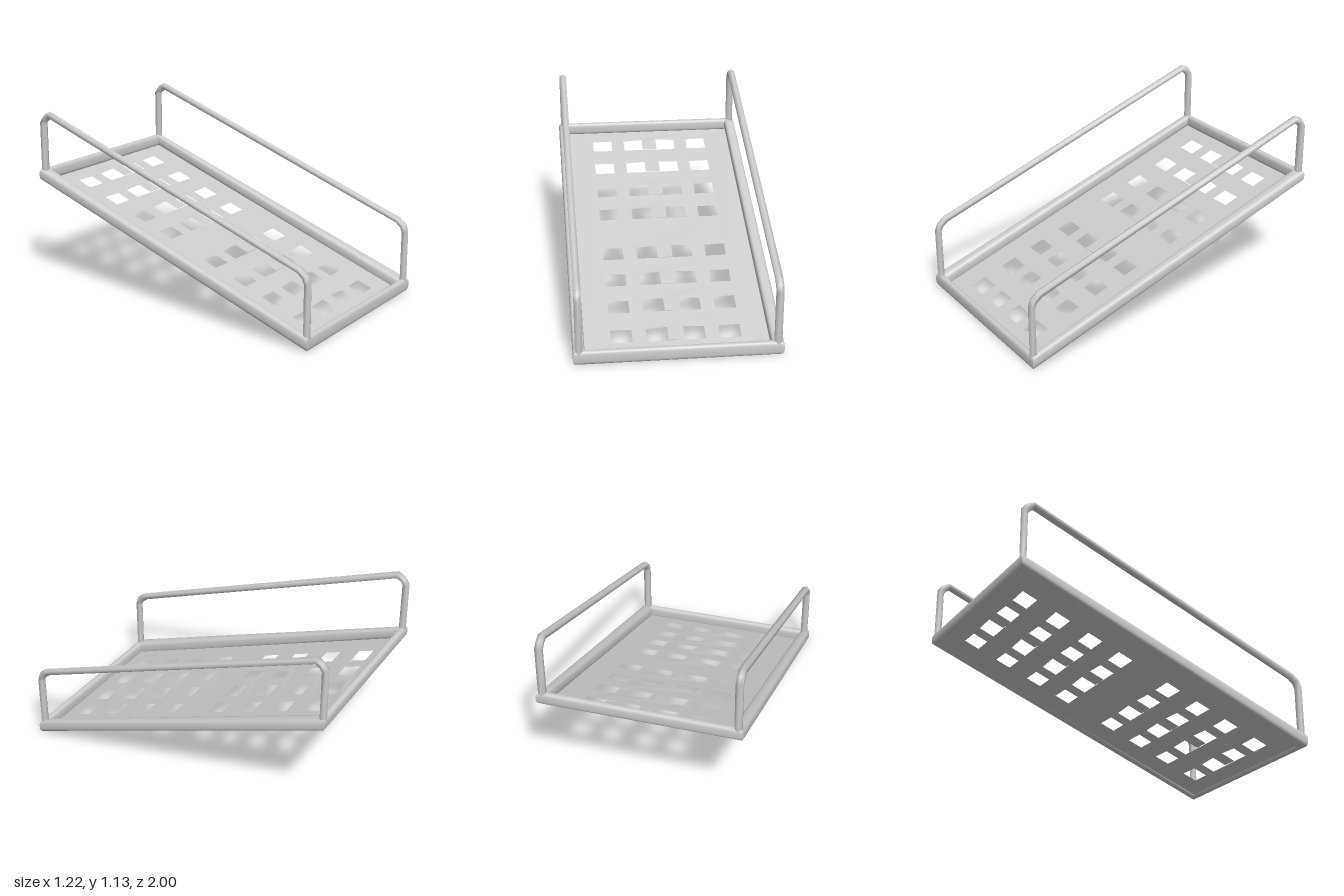
import * as THREE from 'three';

const grey = new THREE.MeshStandardMaterial({ color: 0xcccccc, side: THREE.DoubleSide });

// Skin a list of closed rings (arrays of Vector3, equal length) into a tube
function loft(rings) {
  const n = rings[0].length, pos = [], index = [];
  for (const ring of rings) for (const p of ring) pos.push(p.x, p.y, p.z);
  for (let j = 0; j < rings.length - 1; j++) {
    for (let k = 0; k < n; k++) {
      const a = j * n + k, c = j * n + (k + 1) % n;
      index.push(a, a + n, c, c, a + n, c + n);
    }
  }
  const g = new THREE.BufferGeometry();
  g.setAttribute('position', new THREE.Float32BufferAttribute(pos, 3));
  g.setIndex(index);
  g.computeVertexNormals();
  return g;
}

function add(parent, name, geometry) {
  const mesh = new THREE.Mesh(geometry, grey);
  mesh.name = name;
  parent.add(mesh);
  return mesh;
}

// Mitred section of the frame at one corner: a softened square
function cornerRing(sx, sz) {
  const y = sz > 0 ? 0.0425 : 0.714, ry = sz > 0 ? 0.0425 : 0.0375;
  const soften = v => Math.sign(v) * Math.abs(v) ** 0.67;
  return Array.from({ length: 20 }, (_, k) => {
    const a = k / 20 * Math.PI * 2, c = soften(Math.cos(a)), s = soften(Math.sin(a));
    return new THREE.Vector3(sx * (0.575 + 0.035 * c), y + ry * s, sz * (0.9775 + 0.0225 * c));
  });
}

// Six-sided tube along a bent path of [z, y] points, with mitred bends
function railGeometry(path, radius) {
  const pts = path.map(([z, y]) => new THREE.Vector2(z, y));
  const rings = pts.map((p, i) => {
    const before = p.clone().sub(pts[Math.max(i - 1, 0)]).normalize();
    const after = pts[Math.min(i + 1, pts.length - 1)].clone().sub(p).normalize();
    const t = before.clone().add(after).normalize();
    const stretch = 1 / Math.max(t.dot(after), t.dot(before));
    return Array.from({ length: 6 }, (_, k) => {
      const a = k / 6 * Math.PI * 2, r = Math.cos(a) * radius * stretch;
      return new THREE.Vector3(-Math.sin(a) * radius * 1.08, p.y - t.x * r, p.x + t.y * r);
    });
  });
  return loft(rings);
}

// Sloping plate with a grid of rectangular holes and a slight bow
function plateGeometry() {
  const rect = (path, x, z, w, d) => {
    path.moveTo(x - w / 2, z - d / 2).lineTo(x + w / 2, z - d / 2);
    path.lineTo(x + w / 2, z + d / 2).lineTo(x - w / 2, z + d / 2).closePath();
    return path;
  };
  const shape = rect(new THREE.Shape(), 0, 0, 1.12, 1.93);
  for (const z of [-0.825, -0.605, -0.385, -0.175, 0.165, 0.38, 0.59, 0.81]) {
    for (const x of [-0.32, -0.11, 0.11, 0.32]) {
      shape.holes.push(rect(new THREE.Path(), x, -z, 0.125, 0.095));
    }
  }
  const g = new THREE.ShapeGeometry(shape).rotateX(-Math.PI / 2);
  const p = g.attributes.position;
  for (let i = 0; i < p.count; i++) {
    const x = Math.abs(p.getX(i));
    const bow = x < 0.1 ? 0.004 : x < 0.3 ? -0.003 : 0;
    p.setY(i, 0.348 - 0.344 * p.getZ(i) + bow);
  }
  g.computeVertexNormals();
  return g;
}

export function createModel() {
  const model = new THREE.Group();
  model.name = 'ramp';

  // Frame of four mitred bars
  const frame = new THREE.Group();
  frame.name = 'frame';
  model.add(frame);
  const corners = [[-1, 1], [1, 1], [1, -1], [-1, -1]];
  ['frontBar', 'leftBar', 'backBar', 'rightBar'].forEach((name, i) => {
    add(frame, name, loft([cornerRing(...corners[i]), cornerRing(...corners[(i + 1) % 4])]));
  });

  // Perforated plate
  add(model, 'plate', plateGeometry());

  // Handrails: post, bend, sloping rail, bend, post
  const rail = railGeometry([
    [0.977, 0.05], [0.977, 0.395], [0.963, 0.431], [0.922, 0.464],
    [-0.92, 1.101], [-0.955, 1.081], [-0.977, 1.05], [-0.977, 0.71],
  ], 0.0228);
  for (const side of [1, -1]) {
    add(model, side > 0 ? 'leftHandrail' : 'rightHandrail', rail).position.x = side * 0.575;
  }
  return model;
}
